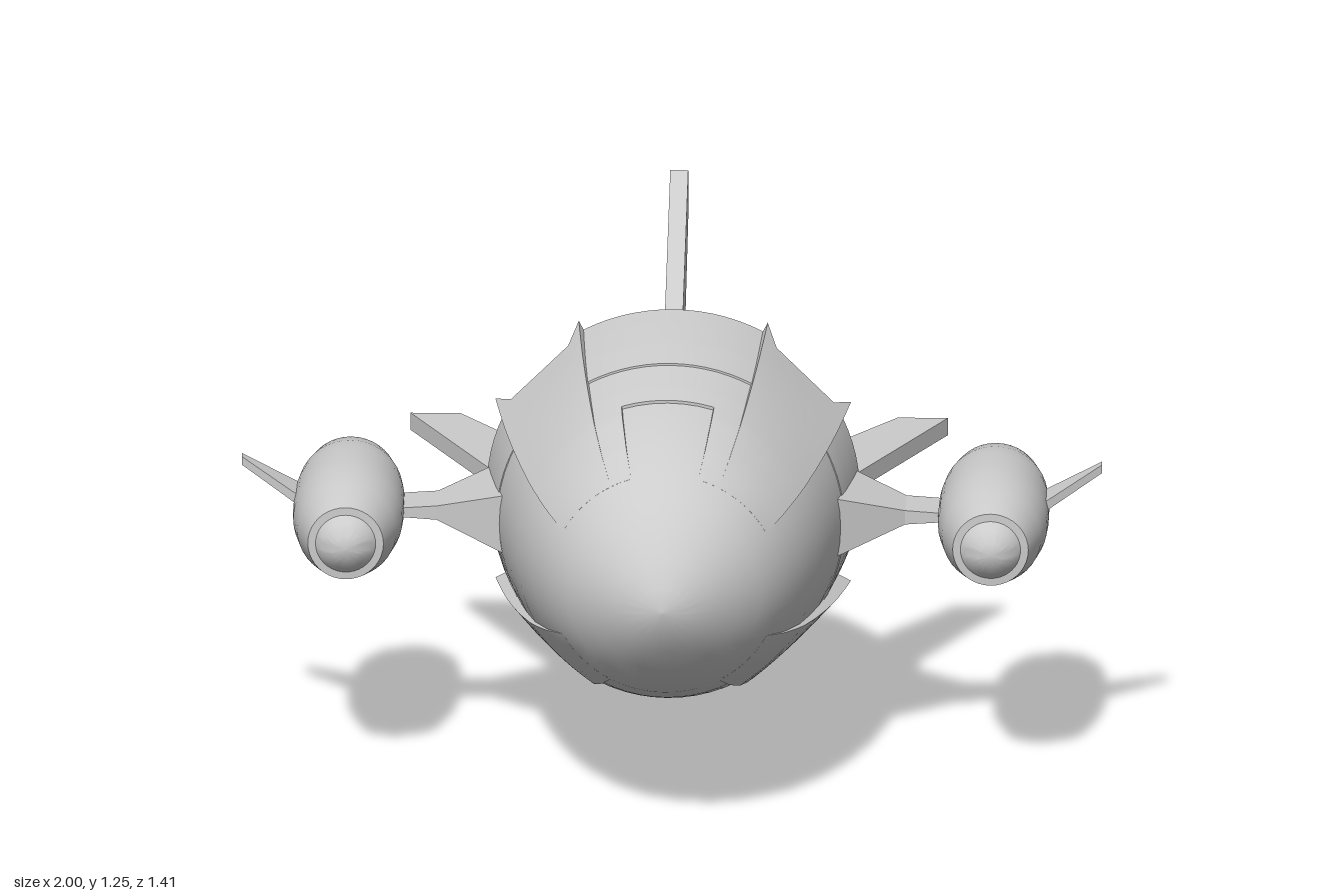
import * as THREE from 'three';
import { toCreasedNormals } from 'three/addons/utils/BufferGeometryUtils.js';

const grey = new THREE.MeshStandardMaterial({ color: 0xcccccc, side: THREE.DoubleSide });
const AXIS_Y = 0.63;
const rad = THREE.MathUtils.degToRad;

// Hull outline from nose to tail: [z, radius]
const hull = [[0.7, 0], [0.685, 0.055], [0.65, 0.115], [0.6, 0.175], [0.55, 0.225], [0.49, 0.268], [0.4, 0.312],
  [0.3, 0.348], [0.2, 0.373], [0.1, 0.394], [0, 0.411], [-0.1, 0.424], [-0.18, 0.433]];

function hullRadius(z) {
  for (let i = 1; i < hull.length; i++) {
    const [z0, r0] = hull[i - 1], [z1, r1] = hull[i];
    if (z >= z1) return r0 + (r1 - r0) * (z - z0) / (z1 - z0);
  }
  return hull.at(-1)[1];
}

function add(parent, name, geometry) {
  const mesh = new THREE.Mesh(geometry, grey);
  mesh.name = name;
  parent.add(mesh);
  return mesh;
}

// Solid of revolution about z; profile is [radius, z] from back to front
function turned(profile, segments) {
  const points = profile.map(([r, z]) => new THREE.Vector2(r, z));
  return toCreasedNormals(new THREE.LatheGeometry(points, segments).rotateX(Math.PI / 2), 0.45);
}

// Raised plate wrapped on the hull; angles in degrees from straight up, edges drop into the hull
function plate(a0, a1, back, front, lift) {
  const nu = 14, nv = 16, pos = [], index = [];
  for (let j = -1; j <= nv + 1; j++) {
    for (let i = -1; i <= nu + 1; i++) {
      const u = THREE.MathUtils.clamp(i / nu, 0, 1), v = THREE.MathUtils.clamp(j / nv, 0, 1);
      const edge = i < 0 || j < 0 || i > nu || j > nv;
      const zBack = back(u), z = zBack + (front - zBack) * v, a = rad(a0 + (a1 - a0) * u);
      const r = hullRadius(z) + (edge ? -0.025 : lift(u, z));
      pos.push(Math.sin(a) * r, Math.cos(a) * r, z);
    }
  }
  const w = nu + 3;
  for (let j = 0; j < nv + 2; j++) {
    for (let i = 0; i < w - 1; i++) {
      const p = j * w + i;
      index.push(p, p + w, p + 1, p + 1, p + w, p + w + 1);
    }
  }
  const g = new THREE.BufferGeometry();
  g.setAttribute('position', new THREE.Float32BufferAttribute(pos, 3));
  g.setIndex(index);
  return toCreasedNormals(g, 0.5);
}

// Flat-sided loft along x; each section is [x, centre y, half height, z0, z1]
function loft(sections) {
  const pos = [], index = [];
  for (const [x, y, h, z0, z1] of sections) pos.push(x, y - h, z0, x, y + h, z0, x, y + h, z1, x, y - h, z1);
  for (let s = 0; s < sections.length - 1; s++) {
    for (let k = 0; k < 4; k++) {
      const a = s * 4 + k, b = s * 4 + (k + 1) % 4;
      index.push(a, b, a + 4, b, b + 4, a + 4);
    }
  }
  const e = (sections.length - 1) * 4;
  index.push(0, 2, 1, 0, 3, 2, e, e + 1, e + 2, e, e + 2, e + 3);
  const indexed = new THREE.BufferGeometry();
  indexed.setAttribute('position', new THREE.Float32BufferAttribute(pos, 3));
  indexed.setIndex(index);
  const g = indexed.toNonIndexed();
  g.computeVertexNormals();
  return g;
}

// Swept fin lying in the xz plane
function finGeometry() {
  const outline = [[0.27, -0.34], [0.4, -0.19], [0.625, -0.635], [0.508, -0.635], [0.31, -0.375]];
  const shape = new THREE.Shape(outline.map(([x, z]) => new THREE.Vector2(x, z)));
  return new THREE.ExtrudeGeometry(shape, { depth: 0.042, bevelEnabled: false })
    .translate(0, 0, -0.021).rotateX(Math.PI / 2);
}

function buildHull(ship) {
  const shell = hull.slice(0, -1).reverse().map(([z, r]) => [r, z]);
  add(ship, 'hull', turned([[0, 0.05], [0.265, 0.05], [0.265, -0.394], [0.295, -0.394],
    [0.408, -0.185], [0.408, -0.1], ...shell], 64));

  // Canopy: rear roof plate, crossbar and two side frames around the recessed window
  const flat = (z) => () => z;
  const frameLift = (u, z) => 0.004 + 0.008 * Math.min(1, (0.49 - z) / 0.2);
  add(ship, 'roofPlate', plate(-28, 28, flat(-0.172), 0.1, () => 0.012));
  add(ship, 'canopyCrossbar', plate(-28, 28, flat(0.1), 0.25, () => 0.007));
  for (const s of [-1, 1]) {
    add(ship, 'canopySideFrame', plate(s * 22.5 - 5.5, s * 22.5 + 5.5, flat(0.25), 0.49,
      (u, z) => frameLift(u, z) - 0.004));
  }

  // Side and belly plates reaching past the shell's rear edge
  for (const a of [90, 180, 270]) {
    add(ship, 'hullPlate', plate(a - 28, a + 28, flat(-0.172), 0.05, () => 0.002));
  }

  // Diagonal plates, flaring towards the rear with a notched trailing edge
  const notch = (u) => -0.172 + 0.068 * Math.min(1, Math.min(u, 1 - u) * 7);
  const flare = (u, z) => ((0.49 - z) / 0.66) * (0.014 + 0.022 * (2 * u - 1) ** 2);
  for (let k = 0; k < 4; k++) {
    add(ship, 'diagonalPlate', plate(k * 90 + 28, k * 90 + 62, notch, 0.49, flare));
  }

  // Four tail fins
  for (let k = 0; k < 4; k++) add(ship, 'tailFin', finGeometry()).rotation.z = k * Math.PI / 2;
}

// Round door swung open behind the tail
function buildHatch(ship) {
  const hatch = new THREE.Group();
  hatch.name = 'rearHatch';
  hatch.position.set(-0.04, 0, -0.55);
  hatch.rotation.y = rad(30);
  add(hatch, 'hatchDoor', new THREE.CylinderGeometry(0.3, 0.3, 0.012, 64).rotateX(Math.PI / 2));
  add(hatch, 'hatchBoss', new THREE.CylinderGeometry(0.15, 0.15, 0.04, 48).rotateX(Math.PI / 2).translate(0, 0, -0.024));
  add(hatch, 'hatchHingeArm', loft([[-0.29, 0, 0.095, 0, 0.02], [0.015, 0, 0.028, 0, 0.05]]));
  ship.add(hatch);
}

// Engine pod with its pylon and outer finlet, on the +x side
function buildEngine() {
  const engine = new THREE.Group();
  engine.name = 'engine';
  add(engine, 'pylon', loft([[0.36, 0, 0.075, -0.18, 0.1], [0.39, 0, 0.07, -0.172, 0.085],
    [0.545, 0, 0.017, -0.1, 0.008], [0.66, 0, 0.009, -0.1, 0.008]]));
  const pod = turned([[0, -0.15], [0.05, -0.15], [0.062, -0.256], [0.085, -0.256], [0.108, -0.215], [0.122, -0.15],
    [0.128, -0.09], [0.129, 0], [0.127, 0.06], [0.115, 0.14], [0.088, 0.23]], 40);
  add(engine, 'enginePod', pod).position.x = 0.75;
  const nose = turned([[0.088, 0.23], [0.07, 0.231], [0.055, 0.25], [0.03, 0.268], [0, 0.275]], 40);
  add(engine, 'podNose', nose).position.x = 0.75;
  add(engine, 'podFinlet', loft([[0.84, 0.012, 0.012, -0.09, 0.012], [0.88, 0.033, 0.012, -0.09, -0.003],
    [1.0, 0.099, 0.01, -0.088, -0.063]]));
  return engine;
}

export function createModel() {
  const model = new THREE.Group();
  model.name = 'spacecraft';
  const ship = new THREE.Group();
  ship.name = 'ship';
  ship.position.y = AXIS_Y;
  model.add(ship);
  buildHull(ship);
  buildHatch(ship);
  for (const s of [1, -1]) {
    const engine = buildEngine();
    engine.name = s > 0 ? 'leftEngine' : 'rightEngine';
    engine.scale.x = s;
    ship.add(engine);
  }
  return model;
}
